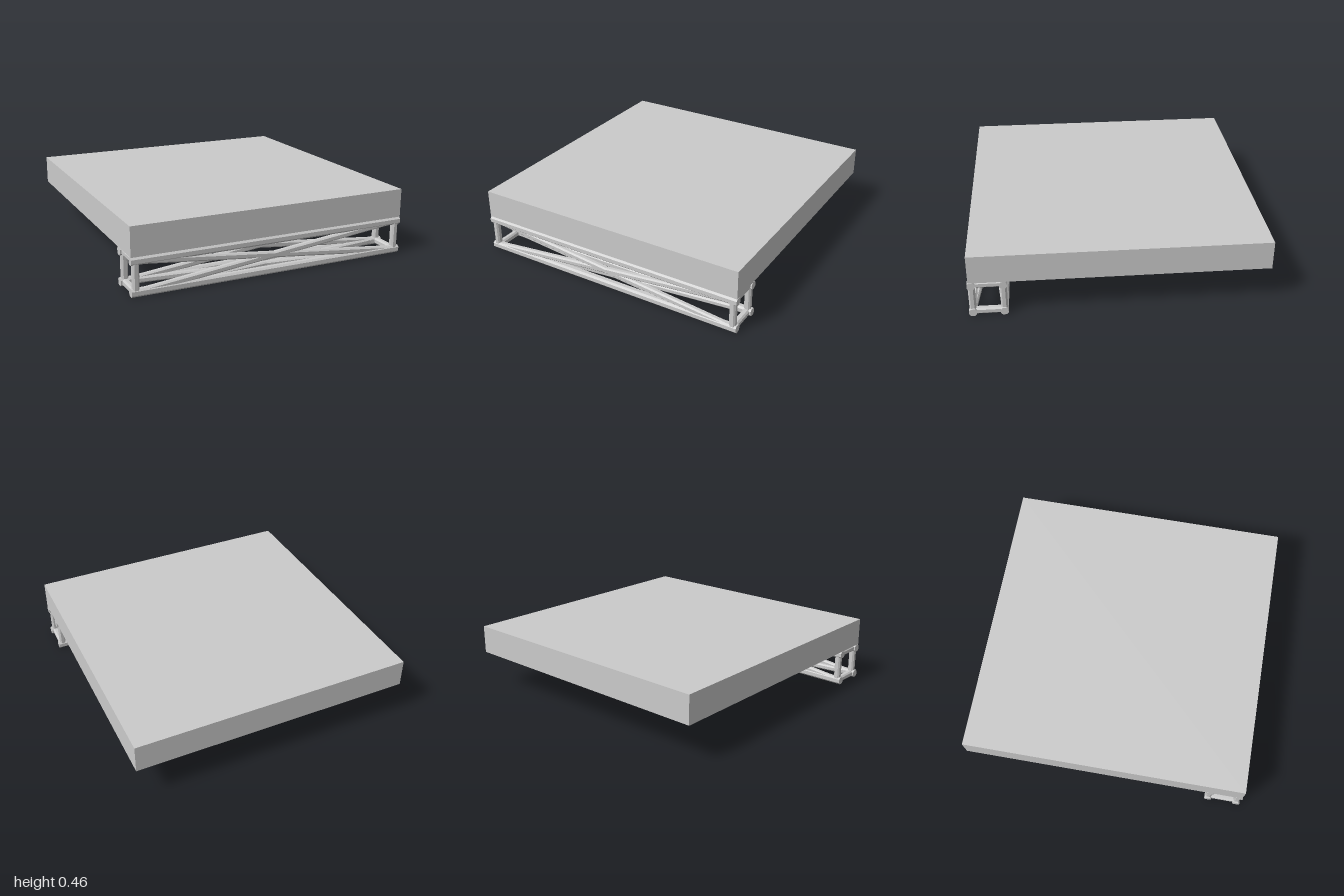
import * as THREE from 'three';

const material = new THREE.MeshStandardMaterial({ color: 0xcccccc, flatShading: true });

// Square section with chamfered corners
function section(width, chamfer) {
  const h = width / 2, c = h - chamfer;
  return new THREE.Shape([
    [h, -c], [h, c], [c, h], [-c, h], [-h, c], [-h, -c], [-c, -h], [c, -h],
  ].map(([x, y]) => new THREE.Vector2(x, y)));
}

// Straight bar between two points, its faces kept square to the given panel normal
function bar(name, from, to, width, normal) {
  const length = from.distanceTo(to);
  const geometry = new THREE.ExtrudeGeometry(section(width, width * 0.24), {
    depth: length, bevelEnabled: false,
  });
  const zAxis = to.clone().sub(from).normalize();
  const xAxis = normal.clone().cross(zAxis).normalize();
  const yAxis = zAxis.clone().cross(xAxis);
  geometry.applyMatrix4(new THREE.Matrix4().makeBasis(xAxis, yAxis, zAxis).setPosition(from));
  const mesh = new THREE.Mesh(geometry, material);
  mesh.name = name;
  return mesh;
}

export function createModel() {
  const model = new THREE.Group();
  model.name = 'platformWithTruss';

  // Solid deck
  const deck = new THREE.Mesh(new THREE.BoxGeometry(1.99, 0.2, 1.993), material);
  deck.name = 'deck';
  deck.position.set(0, 0.361, -0.0035);
  model.add(deck);

  // Box truss under the front edge
  const truss = new THREE.Group();
  truss.name = 'truss';
  model.add(truss);

  const halfLength = 0.995, postX = 0.962, half = 0.1035;
  const centerY = 0.13, centerZ = 0.872;
  const corners = [[-1, -1], [1, -1], [1, 1], [-1, 1]]; // y, z signs around the section
  const point = (x, [y, z]) => new THREE.Vector3(x, centerY + y * half, centerZ + z * half);
  const up = new THREE.Vector3(0, 1, 0);

  corners.forEach((a, i) => {
    const b = corners[(i + 1) % 4];
    const normal = new THREE.Vector3(0, (a[0] + b[0]) / 2, (a[1] + b[1]) / 2);

    // Long corner chord
    truss.add(bar('chord', point(-halfLength, a), point(halfLength, a), 0.051, up));

    // End frame members
    for (const x of [-postX, postX]) {
      truss.add(bar('endPost', point(x, a), point(x, b), 0.044, normal));
    }

    // Crossed diagonal braces on each side panel
    truss.add(bar('brace', point(-postX, a), point(postX, b), 0.04, normal));
    truss.add(bar('brace', point(-postX, b), point(postX, a), 0.04, normal));
  });

  return model;
}
